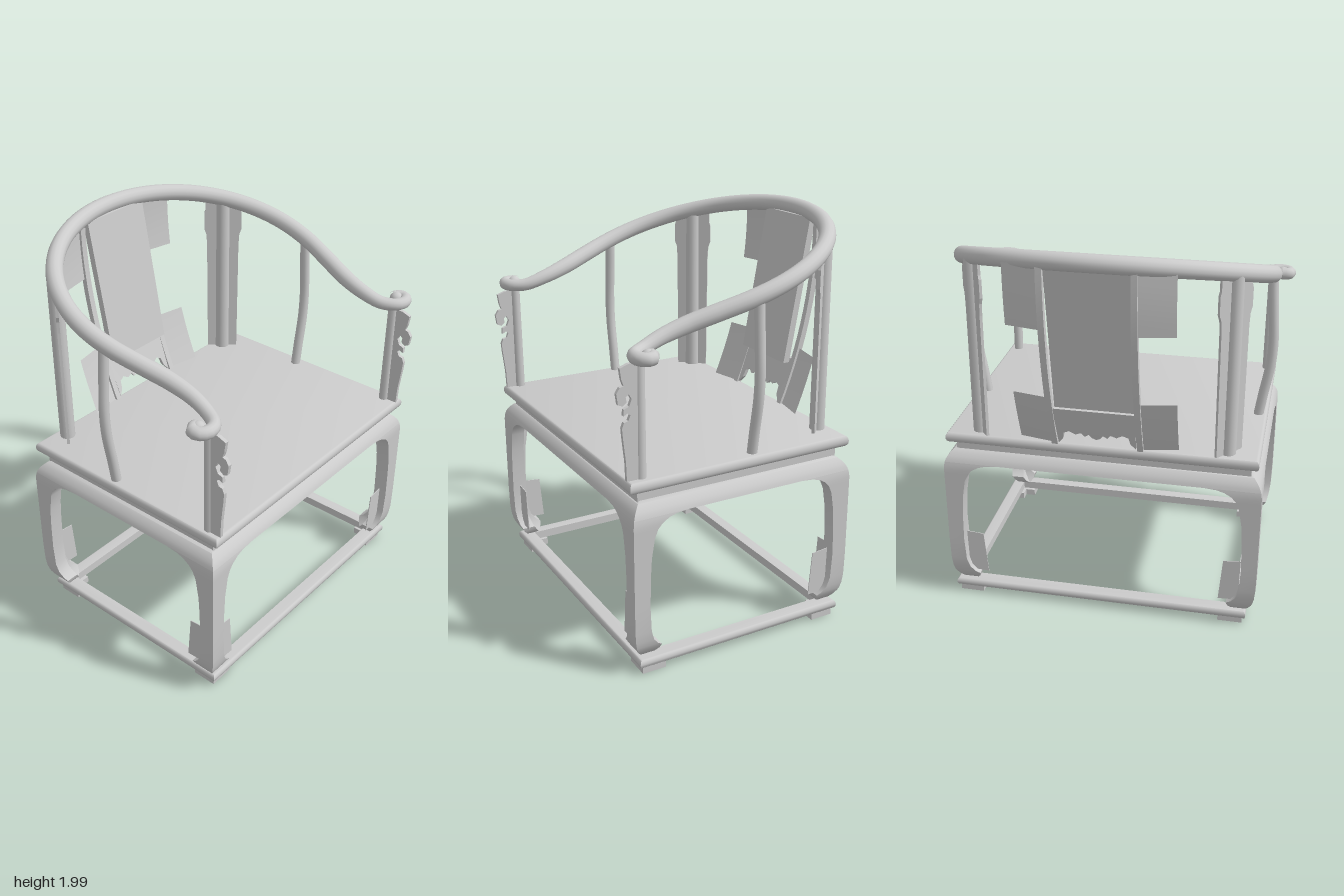
import * as THREE from 'three';
import { toCreasedNormals } from 'three/addons/utils/BufferGeometryUtils.js';

const mat = new THREE.MeshStandardMaterial({ color: 0xcccccc, roughness: 0.8 });
const thinMat = new THREE.MeshStandardMaterial({ color: 0xcccccc, roughness: 0.8, side: THREE.DoubleSide });
const CZ = 0.09; // middle of the seat along z

export function createModel() {
  const chair = new THREE.Group();
  const add = (name, geo, material = mat) => {
    const m = new THREE.Mesh(geo, material);
    m.name = name;
    chair.add(m);
    return m;
  };

  // Skin rings of points; optional wrap from the last ring to the first, or end caps
  function loft(rings, { wrap = false, caps = false } = {}) {
    const pos = [];
    const tri = (a, b, c) => pos.push(...a, ...b, ...c);
    const n = rings[0].length;
    for (let i = 0; i < rings.length - (wrap ? 0 : 1); i++) {
      const lo = rings[i], hi = rings[(i + 1) % rings.length];
      for (let k = 0; k < n; k++) {
        const j = (k + 1) % n;
        tri(lo[k], lo[j], hi[j]);
        tri(lo[k], hi[j], hi[k]);
      }
    }
    if (caps) {
      const a = rings[0], b = rings[rings.length - 1];
      for (let k = 1; k < n - 1; k++) {
        tri(a[0], a[k + 1], a[k]);
        tri(b[0], b[k], b[k + 1]);
      }
    }
    const g = new THREE.BufferGeometry();
    g.setAttribute('position', new THREE.Float32BufferAttribute(pos, 3));
    return toCreasedNormals(g, 0.7);
  }

  // Rectangle rings from a profile of [inset, y]
  const rectRings = (hw, hd, profile, cx = 0.005) => profile.map(([d, y]) =>
    [[1, 1], [1, -1], [-1, -1], [-1, 1]].map(([sx, sz]) => [cx + sx * (hw - d), y, CZ + sz * (hd - d)]));

  // Half-round edge profile between two heights
  const bead = (y0, y1, bulge) => Array.from({ length: 9 }, (_, i) => {
    const a = (i / 8 - 0.5) * Math.PI;
    return [bulge * (1 - Math.cos(a)), (y0 + y1) / 2 + (y1 - y0) / 2 * Math.sin(a)];
  });

  // Extruded thin board, centred on its thickness
  function board(points, depth) {
    const g = new THREE.ExtrudeGeometry(new THREE.Shape(points.map(p => new THREE.Vector2(...p))),
      { depth, bevelEnabled: false });
    return g.translate(0, 0, -depth / 2);
  }

  // Shift vertices along z by a rule
  function shiftZ(g, rule) {
    const p = g.attributes.position;
    for (let i = 0; i < p.count; i++) p.setZ(i, p.getZ(i) + rule(p.getX(i), p.getY(i)));
    g.computeVertexNormals();
    return g;
  }

  // Seat, waist and apron (closed underneath)
  add('seat', loft(rectRings(0.773, 0.592, bead(0.915, 0.97, 0.018)), { caps: true }));
  add('waist', loft(rectRings(0.735, 0.54, [[0, 0.86], [0, 0.92]]), { caps: true }));
  add('apron', loft(rectRings(0.795, 0.59, [[0.005, 0.8], [0.01, 0.815], [0.018, 0.83], [0.03, 0.845],
    [0.045, 0.86], [0.065, 0.87]]), { caps: true }));

  // Base frame
  add('baseFrame', loft(rectRings(0.767, 0.56, [...bead(0.035, 0.08, 0.015), [0.07, 0.08], [0.07, 0.035]], 0.022),
    { wrap: true }));

  // Legs: [y, outer inset, inner inset], L-shaped section widening into the brackets
  const legRows = [[0.08, 0.07, 0.11], [0.09, 0.05, 0.125], [0.11, 0.034, 0.14], [0.135, 0.02, 0.147], [0.15, 0.014, 0.125],
    [0.18, 0.007, 0.1], [0.23, 0.002, 0.085], [0.35, 0, 0.079], [0.5, 0, 0.082], [0.6, 0, 0.088], [0.7, 0, 0.105],
    [0.74, 0, 0.122], [0.765, 0, 0.145], [0.785, 0.002, 0.18], [0.795, 0.004, 0.22], [0.8, 0.005, 0.28]];
  const footL = [[0, 0], [0.124, 0], [0.124, 0.07], [0.07, 0.07], [0.07, 0.12], [0, 0.12]];
  for (const sx of [1, -1]) for (const sz of [1, -1]) {
    const rings = legRows.map(([y, d, e]) => {
      const t = d + Math.min(0.07, 0.94 * (e - d));
      const ring = [[d, d], [d, e], [t, e], [t, t], [e, t], [e, d]]
        .map(([a, b]) => [0.005 + sx * (0.795 - a), y, CZ + sz * (0.59 - b)]);
      return sx * sz > 0 ? ring : [ring[0], ...ring.slice(1).reverse()];
    });
    add('leg', loft(rings, { caps: true }));
    const foot = board(footL.map(([a, b]) => [0.024 + sx * (0.75 - a), -CZ - sz * (0.54 - b)]), 0.036);
    add('foot', foot.rotateX(-Math.PI / 2)).position.y = 0.018;

    // Thin ornament plates beside the legs
    const plate = [[0.084, 0.38], [0.172, 0.372], [0.19, 0.145], [0.09, 0.15]];
    add('legPlate', board(plate.map(([d, y]) => [0.005 + sx * (0.795 - d), y]), 0.004), thinMat)
      .position.z = CZ + sz * 0.55;
    if (sx !== sz) {
      add('legPlate', board(plate.map(([d, y]) => [CZ + sz * (0.59 - d), y]), 0.004).rotateY(-Math.PI / 2), thinMat)
        .position.x = 0.005 + sx * 0.755;
    }
  }

  // Horseshoe arm rail lying in a sloping plane, with curled ends
  const railY = z => 1.727 - 0.332 * z;
  const half = [];
  for (let i = 1; i <= 10; i++) {
    const t = i / 10 * Math.PI / 2;
    half.push([0.753 * Math.sin(t), -0.06 - 0.623 * Math.cos(t)]);
  }
  half.push([0.742, 0.06], [0.703, 0.21], [0.668, 0.34], [0.657, 0.46], [0.675, 0.56], [0.72, 0.625], [0.775, 0.637],
    [0.81, 0.61], [0.802, 0.575], [0.77, 0.572]);
  const full = [...half.map(([x, z]) => [-x, z]).reverse(), [0, -0.683], ...half];
  const rail = new THREE.CatmullRomCurve3(full.map(([x, z]) =>
    new THREE.Vector3(x, Math.max(railY(z), 1.535), z)), false, 'centripetal');
  const railGeo = new THREE.TubeGeometry(rail, 200, 0.042, 14);
  // Taper the tube toward the curls
  const rp = railGeo.attributes.position, c = new THREE.Vector3(), v = new THREE.Vector3();
  for (let i = 0; i < rp.count; i++) {
    const u = Math.floor(i / 15) / 200;
    rail.getPointAt(u, c);
    const s = 1 - 0.26 * THREE.MathUtils.smoothstep(Math.abs(u - 0.5), 0.36, 0.46);
    v.fromBufferAttribute(rp, i).sub(c).multiplyScalar(s).add(c);
    rp.setXYZ(i, v.x, v.y, v.z);
  }
  add('armRail', railGeo);

  for (const s of [1, -1]) {
    add('railEnd', new THREE.SphereGeometry(0.034, 14, 10)).position.set(s * 0.775, 1.535, 0.585);

    // Front post and its carved bracket
    add('frontPost', new THREE.CylinderGeometry(0.023, 0.025, 0.57, 12)).position.set(s * 0.722, 1.245, 0.602);
    const carve = [[0.61, 0.97], [0.677, 0.97], [0.68, 1.06], [0.692, 1.17], [0.696, 1.22], [0.686, 1.245], [0.665, 1.25],
      [0.655, 1.275], [0.668, 1.285], [0.688, 1.275], [0.686, 1.305], [0.66, 1.315], [0.648, 1.345], [0.66, 1.37],
      [0.676, 1.36], [0.672, 1.335], [0.692, 1.32], [0.713, 1.33], [0.72, 1.38], [0.703, 1.405], [0.685, 1.41],
      [0.695, 1.44], [0.702, 1.49], [0.66, 1.505], [0.61, 1.51]];
    add('carvedBracket', board(carve, 0.018).rotateY(-Math.PI / 2)).position.x = s * 0.728;

    // Bowed side post
    const bow = [[0.72, 0.96], [0.738, 1.08], [0.766, 1.25], [0.772, 1.38], [0.764, 1.52], [0.755, 1.65], [0.752, 1.72]];
    add('sidePost', new THREE.TubeGeometry(new THREE.CatmullRomCurve3(
      bow.map(([x, y]) => new THREE.Vector3(s * x, y, 0.02))), 24, 0.025, 12));

    // Rear post with two thin wings set along the rail
    const rear = new THREE.Group();
    rear.name = 'rearPost';
    rear.position.set(s * 0.613, 0, -0.43);
    rear.rotation.y = s > 0 ? -0.86 : Math.PI + 0.86;
    const post = new THREE.Mesh(new THREE.CylinderGeometry(0.036, 0.038, 0.9, 14), mat);
    post.name = 'post';
    post.position.y = 1.41;
    rear.add(post);
    for (const w of [1, -1]) {
      const top = w > 0 ? 1.845 : 1.88;
      const wing = [[0, 0.97], [0.082, 0.97], [0.086, 1.6], [0.09, 1.66], [0.101, 1.69], [0.101, 1.78], [0.094, 1.8],
        [0.094, top], [0, 1.86]];
      const m = new THREE.Mesh(board(wing.map(([a, y]) => [w * a, y]), 0.014), mat);
      m.name = 'postWing';
      rear.add(m);
    }
    chair.add(rear);
  }

  // Backrest: curved stiles, main panel, scalloped lower board and side plates
  const backZ = (x, y) => {
    const u = (y - 0.97) / 0.95;
    return -0.485 - 0.4 * u + 0.21 * u * u;
  };
  const BX = 0.01;
  for (const s of [1, -1]) {
    const stile = new THREE.BoxGeometry(0.03, 0.96, 0.03, 1, 16, 1).translate(BX + s * 0.21, 1.445, 0);
    add('backStile', toCreasedNormals(shiftZ(stile, backZ), 0.6));
    for (const [lo, hi] of [[0.97, 1.255], [1.62, 1.92]]) {
      const plate = new THREE.PlaneGeometry(0.17, hi - lo, 1, 5).translate(BX + s * 0.305, (lo + hi) / 2, 0);
      add('backPlate', shiftZ(plate, (x, y) => backZ(x, y) + (Math.abs(x - BX) - 0.22) * 0.2), thinMat);
    }
  }
  const panel = new THREE.BoxGeometry(0.39, 0.745, 0.035, 1, 8, 1).translate(BX, 1.552, 0);
  add('backPanel', toCreasedNormals(shiftZ(panel, (x, y) => -0.525 - 0.18 * (y - 1.19)), 0.6));
  const scallop = [[0.02, 1.025], [0.035, 1.045], [0.055, 1.03], [0.072, 1.052], [0.1, 1.04], [0.13, 1.058], [0.158, 1.045],
    [0.165, 1.005], [0.19, 0.975], [0.197, 1.195]];
  const lower = board([[0, 1.015], ...scallop, ...scallop.map(([x, y]) => [-x, y]).reverse()], 0.02);
  add('scallopedBoard', toCreasedNormals(shiftZ(lower.translate(BX, 0, 0), backZ), 0.5));

  return chair;
}
